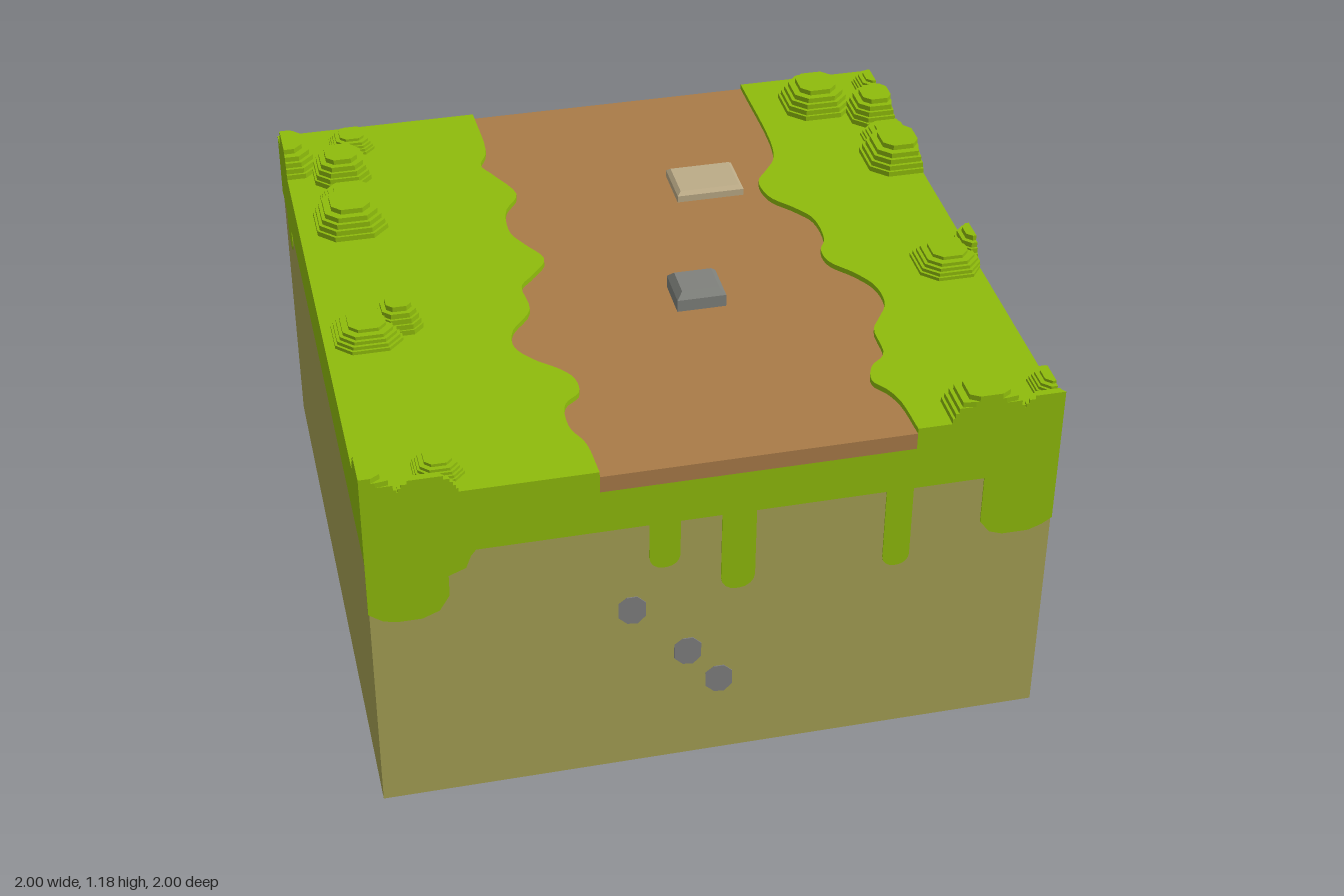
import * as THREE from 'three';

const mat = (name, color) => Object.assign(new THREE.MeshStandardMaterial({ color }), { name });

export function createModel() {
  const root = new THREE.Group();
  root.name = 'terrainBlock';
  const grass = mat('grass', 0x8fbc0c);
  const soil = mat('soil', 0xa6a154);
  const path = mat('path', 0xa97b48);
  const pebble = mat('pebble', 0x808080);
  const rock = mat('rock', 0x7f817c);
  const paleStone = mat('paleStone', 0xbcab87);

  const add = (name, geo, material, parent = root) => {
    const m = new THREE.Mesh(geo, material);
    m.name = name;
    parent.add(m);
  };
  const shapeOf = pts => new THREE.Shape(pts.map(([x, y]) => new THREE.Vector2(x, y)));

  // Horizontal slab from an outline of [x, z] points
  const slab = (pts, y0, y1) =>
    new THREE.ExtrudeGeometry(shapeOf(pts.map(([x, z]) => [x, -z])), { depth: y1 - y0, bevelEnabled: false })
      .rotateX(-Math.PI / 2).translate(0, y0, 0);

  // Soil body, a hair smaller than the grass so the drips lie over it
  const IN = 0.997, GRASS_Y = 0.89, TOP = 1.10;
  add('soilBody', new THREE.BoxGeometry(2 * IN, 0.9, 2 * IN).translate(0, 0.45, 0), soil);

  // Wavy path edges as [x, z]
  const wave = pts => new THREE.CatmullRomCurve3(pts.map(([x, z]) => new THREE.Vector3(x, 0, z)))
    .getPoints(90).map(p => [p.x, THREE.MathUtils.clamp(p.z, -1, 1)]);
  const edgeA = wave([[-.35, -1], [-.35, -.75], [-.38, -.67], [-.35, -.6], [-.30, -.47], [-.35, -.38], [-.36, -.25],
    [-.33, -.18], [-.285, -.08], [-.34, 0], [-.38, .05], [-.38, .18], [-.45, .28], [-.46, .36], [-.42, .43],
    [-.35, .5], [-.32, .55], [-.32, .62], [-.37, .67], [-.38, .78], [-.35, .86], [-.34, 1]]);
  const edgeB = wave([[.57, -1], [.57, -.6], [.55, -.5], [.51, -.44], [.47, -.38], [.48, -.28], [.54, -.2],
    [.58, -.13], [.58, 0], [.555, .05], [.56, .12], [.62, .2], [.66, .28], [.66, .38], [.62, .45],
    [.59, .5], [.58, .63], [.53, .68], [.51, .75], [.54, .8], [.56, .86], [.57, 1]]);
  const between = [...edgeA, ...[...edgeB].reverse()];

  // Turf on both sides, turf under the path, and the path
  add('grassRight', slab([[-1, 1], [-1, -1], ...edgeA], GRASS_Y, TOP), grass);
  add('grassLeft', slab([[1, 1], [1, -1], ...edgeB], GRASS_Y, TOP), grass);
  add('grassUnderPath', slab(between, GRASS_Y, 1.03), grass);
  add('dirtPath', slab(between, 1.03, 1.083), path);

  // Drip outline with rounded lower corners
  const drip = (u0, u1, bottom) => {
    const w = u1 - u0, r = Math.min(w * 0.45, (GRASS_Y - bottom) * 0.7), out = [[u0, GRASS_Y]];
    for (let i = 0; i <= 4; i++) {
      const a = i / 4 * Math.PI / 2;
      out.push([u0 + r - r * Math.cos(a), bottom + r - r * Math.sin(a)]);
    }
    for (let i = 0; i <= 4; i++) {
      const a = i / 4 * Math.PI / 2;
      out.push([u1 - r + r * Math.sin(a), bottom + r - r * Math.cos(a)]);
    }
    return [...out, [u1, GRASS_Y]];
  };
  const stone = (u, y) => [[-.04, .03], [-.015, .05], [.015, .05], [.04, .025], [.04, -.025], [.015, -.05],
    [-.015, -.045], [-.04, -.02]].map(([a, b]) => [u + a, y + b]);

  // Side details: u runs left to right as seen facing each side
  const sides = [
    { name: 'front', turn: 0,
      drips: [drip(-.2, -.11, .73), drip(.01, .11, .615), drip(.49, .57, .615),
        [[-1, .89], [-1, .71], [-.96, .68], [-.92, .67], [-.85, .67], [-.8, .69], [-.77, .74], [-.77, .81],
          [-.72, .83], [-.705, .87], [-.69, .89]],
        [[.78, .89], [.78, .73], [.81, .69], [.85, .675], [.93, .675], [.97, .69], [1, .71], [1, .89]]],
      stones: [[-.25, .585], [-.085, .4], [.01, .275]] },
    { name: 'left', turn: Math.PI / 2,
      drips: [drip(-.59, -.48, .83), drip(-.33, -.22, .785), drip(-.09, 0, .71), drip(.2, .3, .86), drip(.41, .51, .83),
        [[-1, .89], [-1, .73], [-.96, .755], [-.86, .765], [-.8, .79], [-.78, .83], [-.78, .89]],
        [[.745, .89], [.75, .77], [.78, .74], [.83, .74], [.87, .765], [.95, .77], [.99, .8], [1, .82], [1, .89]]],
      stones: [[-.765, .355], [.43, .475], [.415, .375]] },
    { name: 'back', turn: Math.PI, drips: [drip(.69, .79, .81), drip(.9, 1, .86)], stones: [] },
    { name: 'right', turn: -Math.PI / 2, drips: [drip(-.87, -.75, .79)], stones: [] },
  ];
  for (const { name, turn, drips, stones } of sides) {
    const side = new THREE.Group();
    side.name = name + 'Side';
    side.rotation.y = turn;
    root.add(side);
    const plate = pts => new THREE.ExtrudeGeometry(shapeOf(pts), { depth: 1 - IN, bevelEnabled: false })
      .translate(0, 0, IN);
    drips.forEach(d => add('grassDrip', plate(d), grass, side));
    stones.forEach(([u, y]) => add('buriedPebble', plate(stone(u, y)), pebble, side));
  }

  // Terraced bushes, cut off flush at the block sides; one cluster row repeated on both banks
  const clip = v => THREE.MathUtils.clamp(v, -1, 1);
  const tiers = [[1, .2], [.93, .4], [.84, .6], [.74, .8], [.55, 1]];
  const bush = (x, z, r, h) => {
    const g = new THREE.Group();
    g.name = 'bush';
    root.add(g);
    let y = TOP;
    for (const [k, t] of tiers) {
      const a = r * k, b = a * 0.55;
      const ring = [[a, -b], [a, b], [b, a], [-b, a], [-a, b], [-a, -b], [-b, -a], [b, -a]]
        .map(([dx, dz]) => [clip(x + dx), clip(z + dz)])
        .filter((p, i, all) => {
          const q = all[(i + 1) % all.length];
          return Math.hypot(p[0] - q[0], p[1] - q[1]) > 1e-5;
        });
      add('bushTier', slab(ring, y, TOP + h * t), grass, g);
      y = TOP + h * t;
    }
  };
  const cluster = [[-1, -.825, .11, .083], [-.77, -.89, .07, .045], [-.825, -.715, .09, .083], [-.82, -.54, .09, .045],
    [-.835, -.425, .11, .083], [-.87, .2, .10, .055], [-.77, .165, .068, .083], [-1, .95, .11, .083],
    [-.77, .885, .07, .045], [-.82, 1.03, .09, .06]];
  for (const [x, z, r, h] of cluster) {
    bush(x, z, r, h);
    bush(x + 1.78, z, r, h);
  }

  // Bevelled stones lying on the path
  const bevelled = (name, x, z, w, d, y1, y2, inset, material) => {
    const g = new THREE.Group();
    g.name = name;
    g.position.set(x, 0, z);
    root.add(g);
    add('base', new THREE.BoxGeometry(w, y1 - 1.07, d).translate(0, (y1 + 1.07) / 2, 0), material, g);
    const cap = new THREE.BoxGeometry(w, y2 - y1, d), p = cap.attributes.position;
    for (let i = 0; i < p.count; i++) {
      if (p.getY(i) < 0) continue;
      p.setX(i, p.getX(i) * (1 - 2 * inset / w));
      p.setZ(i, p.getZ(i) * (1 - 2 * inset / d));
    }
    cap.computeVertexNormals();
    add('cap', cap.translate(0, (y1 + y2) / 2, 0), material, g);
  };
  bevelled('greyRock', .127, .193, .15, .14, 1.122, 1.142, .018, rock);
  bevelled('paleSlab', .302, -.42, .215, .165, 1.105, 1.116, .012, paleStone);

  return root;
}
